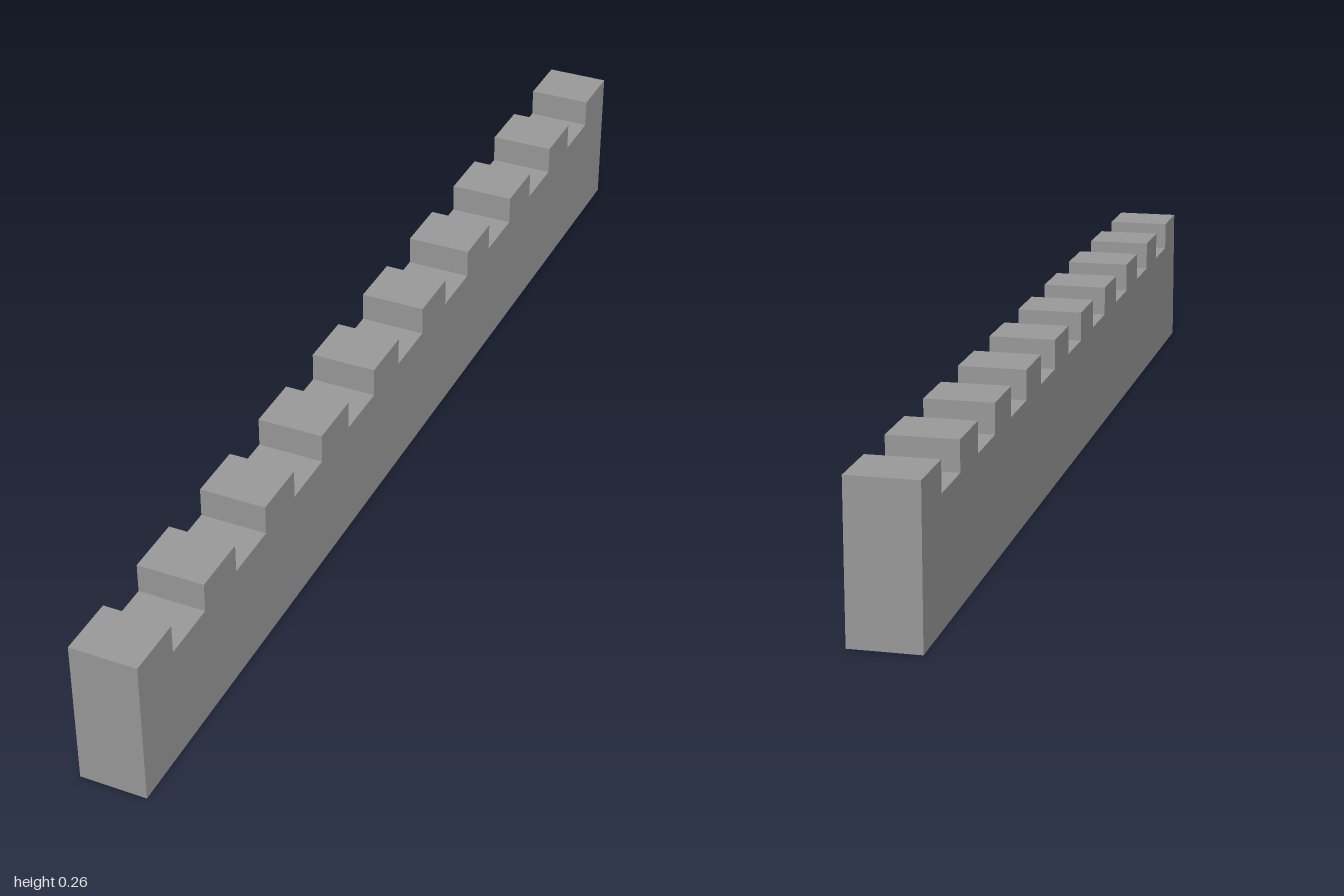
import * as THREE from 'three';

const LENGTH = 2, WIDTH = 0.117, HEIGHT = 0.263, NOTCH_Y = 0.211, MERLONS = 10;

export function createModel() {
  const group = new THREE.Group();
  group.name = 'battlementWall';

  // side outline: flat base, then merlons and equal gaps along the top
  const steps = MERLONS * 2 - 1;
  const step = LENGTH / steps;
  const outline = new THREE.Shape();
  outline.moveTo(-LENGTH / 2, 0);
  outline.lineTo(LENGTH / 2, 0);
  for (let i = 0; i < steps; i++) {
    const y = i % 2 === 0 ? HEIGHT : NOTCH_Y;
    outline.lineTo(LENGTH / 2 - i * step, y);
    outline.lineTo(LENGTH / 2 - (i + 1) * step, y);
  }
  outline.closePath();

  // extrude across the wall thickness, then turn the length along z
  const geometry = new THREE.ExtrudeGeometry(outline, { depth: WIDTH, bevelEnabled: false });
  geometry.translate(0, 0, -WIDTH / 2);
  geometry.rotateY(-Math.PI / 2);

  const wall = new THREE.Mesh(
    geometry,
    new THREE.MeshStandardMaterial({ color: 0x9a9a9a, flatShading: true })
  );
  wall.name = 'crenellatedWall';
  group.add(wall);
  return group;
}
